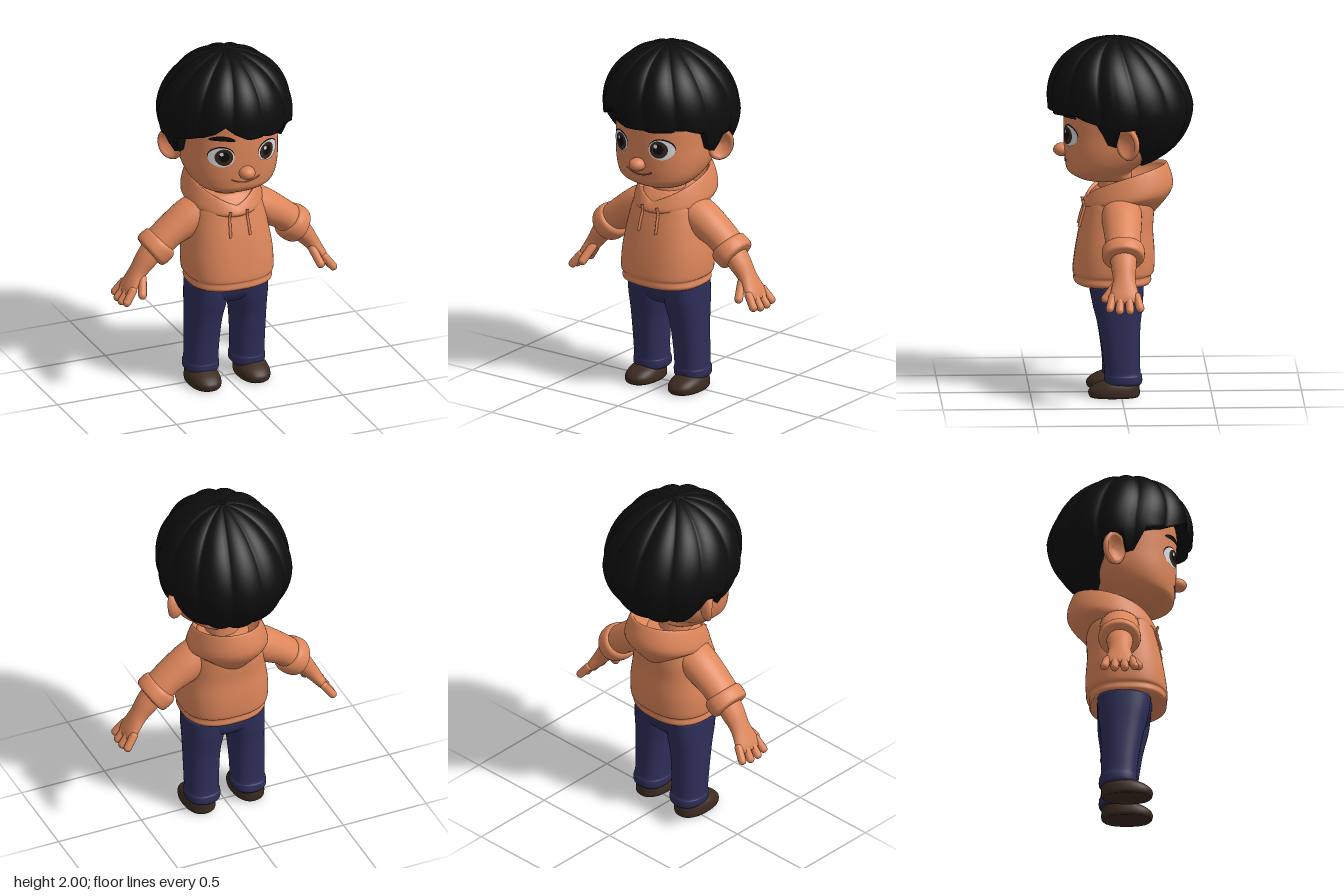
import * as THREE from 'three';

const mat = (name, color) => {
  const m = new THREE.MeshStandardMaterial({ color });
  m.name = name;
  return m;
};

// Closed surface: rows of points around a loop, at(i, j) returns [x, y, z].
function grid(rows, seg, at) {
  const pos = [], idx = [];
  for (let i = 0; i < rows; i++) for (let j = 0; j < seg; j++) pos.push(...at(i, j));
  for (let i = 0; i < rows - 1; i++) for (let j = 0; j < seg; j++) {
    const a = i * seg + j, b = i * seg + (j + 1) % seg;
    idx.push(a, a + seg, b, b, a + seg, b + seg);
  }
  const g = new THREE.BufferGeometry();
  g.setAttribute('position', new THREE.Float32BufferAttribute(pos, 3));
  g.setIndex(idx);
  g.computeVertexNormals();
  return g;
}

// Catmull-Rom subdivision of cross-sections [x, y, z, radius in the xy plane, radius in z].
function refine(rings, n = 5) {
  const out = [], at = i => rings[Math.min(rings.length - 1, Math.max(0, i))];
  for (let i = 0; i < rings.length - 1; i++) for (let k = 0; k < n; k++) {
    const t = k / n;
    out.push(at(i).map((b, c) => {
      const a = at(i - 1)[c], d = at(i + 1)[c], e = at(i + 2)[c];
      return b + 0.5 * t * (d - a + t * (2 * a - 5 * b + 4 * d - e + t * (3 * (b - d) + e - a)));
    }));
  }
  out.push(at(rings.length - 1));
  return out;
}

// Skin over refined cross-sections (superellipses of power p), closed at both ends.
function loft(rings, p = 2, seg = 40) {
  const last = rings.length - 1;
  const list = rings.map((r, i) => {
    const a = rings[Math.max(0, i - 1)], b = rings[Math.min(last, i + 1)];
    const l = Math.hypot(b[0] - a[0], b[1] - a[1]);
    return [...r, (b[1] - a[1]) / l, -(b[0] - a[0]) / l];
  });
  const cap = r => [r[0], r[1], r[2], 0.0005, 0.0005, r[5], r[6]];
  list.unshift(cap(list[0]));
  list.push(cap(list[list.length - 1]));
  const pw = v => Math.sign(v) * Math.abs(v) ** (2 / p);
  return grid(list.length, seg, (i, j) => {
    const [x, y, z, rn, rz, nx, ny] = list[i], a = j / seg * Math.PI * 2;
    const n = pw(Math.cos(a)) * rn;
    return [x + nx * n, y + ny * n, z + pw(Math.sin(a)) * rz];
  });
}

// Front surface depth of an upright loft at (x, y).
function frontZ(rings, p, x, y) {
  let i = 0;
  while (i < rings.length - 2 && rings[i + 1][1] < y) i++;
  const a = rings[i], b = rings[i + 1], t = (y - a[1]) / (b[1] - a[1]);
  const [, , cz, rn, rz] = a.map((v, c) => v + (b[c] - v) * t);
  return cz + rz * Math.max(0, 1 - Math.abs(x / rn) ** p) ** (1 / p);
}

// Rounded finger between two points.
function finger(a, b, r) {
  const A = new THREE.Vector3(...a), d = new THREE.Vector3(...b).sub(A);
  const q = new THREE.Quaternion().setFromUnitVectors(new THREE.Vector3(0, 1, 0), d.clone().normalize());
  const c = A.addScaledVector(d, 0.5);
  return new THREE.CapsuleGeometry(r, d.length(), 6, 14).applyQuaternion(q).translate(c.x, c.y, c.z);
}

function mirrored(geo) {
  const g = geo.clone().scale(-1, 1, 1), ix = g.index.array;
  for (let i = 0; i < ix.length; i += 3) [ix[i], ix[i + 1]] = [ix[i + 1], ix[i]];
  g.computeVertexNormals();
  return g;
}

export function createModel() {
  const model = new THREE.Group();
  model.name = 'boy';
  const tan = mat('tan skin and hoodie', 0xdd865a), navy = mat('navy trousers', 0x2e2e5a);
  const black = mat('black hair', 0x0d0d0d), brown = mat('brown shoes', 0x3c2b21);
  const white = mat('eye white', 0xd8dcdf), iris = mat('brown iris', 0x38251a), lip = mat('mouth line', 0x96543a);
  const add = (name, geo, m) => {
    const mesh = new THREE.Mesh(geo, m);
    mesh.name = name;
    model.add(mesh);
  };
  const pair = (name, geo, m) => {
    add('left ' + name, geo, m);
    add('right ' + name, mirrored(geo), m);
  };

  // Head, neck and nose
  const HP = 2.3;
  const head = refine([
    [0, 1.19, 0.07, 0.06, 0.06], [0, 1.208, 0.08, 0.14, 0.14], [0, 1.25, 0.115, 0.205, 0.175],
    [0, 1.3, 0.09, 0.245, 0.215], [0, 1.38, 0.05, 0.27, 0.262], [0, 1.48, 0.02, 0.278, 0.295],
    [0, 1.58, 0, 0.285, 0.315], [0, 1.68, 0, 0.28, 0.315], [0, 1.8, 0, 0.22, 0.25], [0, 1.88, 0, 0.1, 0.12]]);
  add('head', loft(head, HP, 64), tan);
  add('neck', new THREE.CylinderGeometry(0.09, 0.1, 0.2, 28).translate(0, 1.17, 0.03), tan);
  add('nose', new THREE.SphereGeometry(1, 24, 16).scale(0.046, 0.038, 0.05).translate(0, 1.365, 0.322), tan);

  // Face details laid on the head surface
  const disk = (x, y, rx, ry, off, tilt = 0, arch = 0) => {
    const g = new THREE.RingGeometry(0.001, 1, 40, 6), P = g.attributes.position;
    for (let i = 0; i < P.count; i++) {
      const u = P.getX(i), v = P.getY(i);
      const px = x + u * rx, py = y + v * ry + tilt * u - arch * u * u;
      P.setXYZ(i, px, py, frontZ(head, HP, px, py) + off);
    }
    g.computeVertexNormals();
    return g;
  };
  pair('eyelash', disk(0.138, 1.473, 0.068, 0.059, 0.003), black);
  pair('eye white', disk(0.138, 1.467, 0.067, 0.058, 0.006), white);
  pair('iris', disk(0.128, 1.469, 0.047, 0.05, 0.009), iris);
  pair('pupil', disk(0.128, 1.472, 0.027, 0.03, 0.011), black);
  for (const x of [0.115, -0.142]) add('eye glint', disk(x, 1.49, 0.01, 0.011, 0.013), white);
  pair('eyebrow', disk(0.135, 1.583, 0.068, 0.015, 0.009, 0.004, 0.012), black);
  const smile = [];
  for (let i = -4; i <= 4; i++) {
    const x = i * 0.0215, y = 1.303 + 0.024 * (i / 4) ** 2;
    smile.push(new THREE.Vector3(x, y, frontZ(head, HP, x, y)));
  }
  add('mouth', new THREE.TubeGeometry(new THREE.CatmullRomCurve3(smile), 32, 0.004, 8), lip);

  // Cupped ears
  const cup = [[0, -0.04], [0.045, -0.032], [0.07, -0.008], [0.076, 0.012], [0.068, 0.026],
    [0.055, 0.02], [0.04, 0], [0, -0.01]].map(p => new THREE.Vector2(...p));
  pair('ear', new THREE.LatheGeometry(cup, 36).rotateX(Math.PI / 2).scale(1, 1.25, 1)
    .rotateY(0.85).rotateZ(-0.12).translate(0.305, 1.45, -0.035), tan);

  // Hair: lobed cap with a lower edge that varies with the angle from the front
  const edge = [[-180, 1.28], [-150, 1.28], [-123, 1.31], [-108, 1.4], [-103, 1.53], [-88, 1.53], [-84, 1.43],
    [-76, 1.44], [-68, 1.56], [-45, 1.6], [-32, 1.64], [-24, 1.68], [-17, 1.64], [-4, 1.6], [20, 1.59],
    [50, 1.6], [68, 1.56], [76, 1.44], [84, 1.43], [88, 1.53], [103, 1.53], [108, 1.4], [123, 1.31],
    [150, 1.28], [180, 1.28]];
  const edgeY = d => {
    const i = Math.max(1, edge.findIndex(e => e[0] >= d)), [a, ya] = edge[i - 1], [b, yb] = edge[i];
    return ya + (yb - ya) * (d - a) / (b - a);
  };
  const ROWS = 32, SEG = 180;
  add('hair', grid(ROWS + 3, SEG, (i, j) => {
    const deg = j * 360 / SEG - 180, phi = deg * Math.PI / 180;
    const dy = edgeY(deg) - 1.62;
    const th = Math.acos(dy / (dy > 0 ? 0.38 : 0.36)) * Math.max(0.001, Math.min(1, i / ROWS));
    const c = Math.cos(th), s = Math.sin(th), lobe = Math.abs(Math.cos(phi * 6 + 0.3)) ** 0.7;
    const f = 1 - 0.05 * (1 - lobe) * Math.min(1, 1.3 * s);
    // The last two rows tuck under towards the scalp
    const k = i > ROWS ? [0.78, 0.45][i - ROWS - 1] : 1, up = i > ROWS ? [0.01, 0.08][i - ROWS - 1] : 0;
    return [0.375 * s * f * Math.sin(phi) * k, 1.62 + c * (c > 0 ? 0.38 : 0.36) * f + up,
      (0.403 * s * f * Math.cos(phi) + 0.06 * Math.max(0, c) * s ** 0.3) * k];
  }), black);

  // Hoodie body with hem
  const TP = 2.5;
  const torso = refine([
    [0, 0.62, 0.04, 0.225, 0.2], [0, 0.637, 0.045, 0.24, 0.215], [0, 0.668, 0.045, 0.236, 0.213],
    [0, 0.692, 0.04, 0.25, 0.225], [0, 0.8, 0.032, 0.25, 0.22], [0, 0.92, 0.025, 0.232, 0.205],
    [0, 1.02, 0.01, 0.215, 0.195], [0, 1.1, 0, 0.19, 0.18], [0, 1.16, 0, 0.13, 0.13]]);
  add('hoodie body', loft(torso, TP, 56), tan);

  // Hood: a tilted collar, low and pointed in front, high and full at the back
  add('hood', grid(26, 72, (i, j) => {
    const a = j / 72 * Math.PI * 2, k = (1 - Math.cos(a)) / 2;
    const rimY = 1.1 + 0.18 * k ** 0.55;
    const keys = [[0.08, 1.1, 0.09, 0], [0.155, rimY - 0.04, 0.185, -0.035], [0.172, rimY, 0.205, -0.035],
      [0.19, rimY + 0.002, 0.225, -0.038], [0.222, 1.065 + 0.085 * k, 0.25, -0.038],
      [0.17, 1.04 - 0.035 * k + 0.05 * Math.sin(a) ** 2, 0.185, 0.005]];
    const u = i / 5, n = Math.min(4, Math.floor(u)), t = u - n, at = q => keys[Math.max(0, Math.min(5, q))];
    const [rx, y, rz, cz] = keys[n].map((b, c) => {
      const A = at(n - 1)[c], d = at(n + 1)[c], e = at(n + 2)[c];
      return b + 0.5 * t * (d - A + t * (2 * A - 5 * b + 4 * d - e + t * (3 * (b - d) + e - A)));
    });
    return [rx * Math.sin(a), y, cz + rz * Math.cos(a)];
  }), tan);

  // Drawstrings
  const string = [1.09, 1.05, 1.0, 0.94].map((y, i) =>
    new THREE.Vector3(0.05 + 0.003 * i, y, frontZ(torso, TP, 0.055, y) + (i ? 0.008 : 0.03)));
  pair('drawstring', new THREE.TubeGeometry(new THREE.CatmullRomCurve3(string), 20, 0.008, 8), tan);

  // Sleeves, rolled cuffs, forearms and hands
  pair('sleeve', loft(refine([[0.12, 1.06, 0, 0.09, 0.11], [0.22, 1.0, 0, 0.1, 0.11],
    [0.34, 0.925, 0, 0.085, 0.1], [0.41, 0.86, 0, 0.085, 0.098]])), tan);
  pair('cuff', loft(refine([[0.372, 0.888, 0, 0.08, 0.095], [0.385, 0.877, 0, 0.1, 0.115],
    [0.418, 0.852, 0, 0.105, 0.118], [0.445, 0.832, 0, 0.097, 0.111], [0.452, 0.827, 0, 0.07, 0.08]])), tan);
  pair('forearm and palm', loft(refine([[0.42, 0.85, 0, 0.065, 0.075], [0.47, 0.79, 0, 0.058, 0.07],
    [0.515, 0.73, 0, 0.046, 0.062], [0.55, 0.68, 0, 0.037, 0.073], [0.58, 0.635, 0, 0.03, 0.085],
    [0.597, 0.608, 0, 0.02, 0.075]])), tan);
  [-0.068, -0.023, 0.023, 0.066].forEach((z, i) => {
    const l = i === 1 || i === 2 ? 1 : 0.85;
    pair('finger', finger([0.575, 0.645, z], [0.575 + 0.052 * l, 0.645 - 0.07 * l, z * 1.25], 0.023), tan);
  });
  pair('thumb', finger([0.51, 0.7, 0.045], [0.535, 0.625, 0.105], 0.024), tan);

  // Trousers
  add('trouser hips', loft(refine([[0, 0.5, 0.015, 0.13, 0.1], [0, 0.53, 0.018, 0.215, 0.13],
    [0, 0.58, 0.023, 0.23, 0.148], [0, 0.66, 0.03, 0.225, 0.155]]), 2.5), navy);
  pair('trouser leg', loft(refine([[0.138, 0.07, -0.01, 0.085, 0.095], [0.138, 0.085, -0.01, 0.096, 0.105],
    [0.138, 0.12, -0.008, 0.097, 0.105], [0.138, 0.14, -0.005, 0.092, 0.1], [0.137, 0.25, 0.002, 0.094, 0.104],
    [0.132, 0.4, 0.012, 0.1, 0.118], [0.122, 0.52, 0.02, 0.112, 0.14], [0.118, 0.62, 0.026, 0.114, 0.148]]), 2.4), navy);

  // Shoes
  pair('shoe', loft(refine([[0.147, 0, 0.04, 0.08, 0.132], [0.147, 0.012, 0.04, 0.089, 0.141],
    [0.147, 0.04, 0.04, 0.09, 0.141], [0.147, 0.07, 0.025, 0.082, 0.122], [0.147, 0.095, 0.005, 0.06, 0.085]]), 2.3), brown);

  return model;
}
